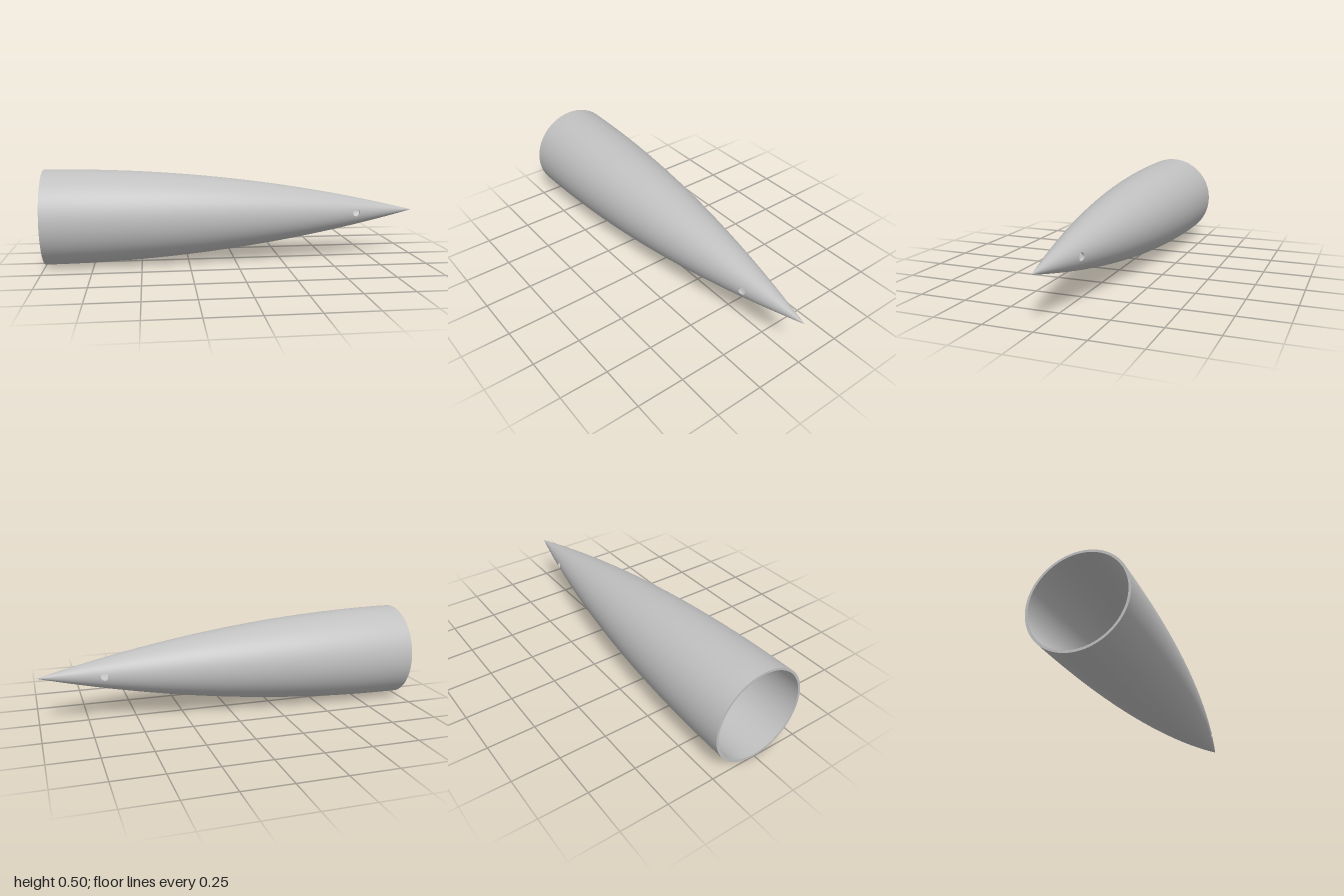
import * as THREE from 'three';

const LENGTH = 2, RADIUS = 0.25, WALL = 0.0125;
const RHO = (RADIUS ** 2 + LENGTH ** 2) / (2 * RADIUS); // radius of the ogive arc
const HOLE_X = 0.665, HOLE_R = 0.02, BAND = 0.05;
const SEG = 96, EDGE = 16;

// Ogive profile: radius at x, slope at x, and the x where the radius runs out
const profile = (x, inset) => Math.max(0, Math.sqrt(RHO ** 2 - (x + 1) ** 2) - RHO + RADIUS - inset);
const slope = (x) => (x + 1) / Math.sqrt(RHO ** 2 - (x + 1) ** 2);
const tipX = (inset) => Math.sqrt(RHO ** 2 - (RHO - RADIUS + inset) ** 2) - 1;

// Grid surface; at(u, v) gives { p, n }, and triangles are wound to agree with n
function gridSurface(nu, nv, at) {
  const pos = [], nor = [], index = [], P = [], N = [];
  for (let i = 0; i <= nu; i++) for (let j = 0; j <= nv; j++) {
    const { p, n } = at(i / nu, j / nv);
    n.normalize();
    P.push(p); N.push(n);
    pos.push(p.x, p.y, p.z); nor.push(n.x, n.y, n.z);
  }
  const tri = (a, b, c) => {
    const face = P[b].clone().sub(P[a]).cross(P[c].clone().sub(P[a]));
    if (face.dot(N[a].clone().add(N[b]).add(N[c])) >= 0) index.push(a, b, c);
    else index.push(a, c, b);
  };
  for (let i = 0; i < nu; i++) for (let j = 0; j < nv; j++) {
    const a = i * (nv + 1) + j, b = a + nv + 1;
    tri(a, b, b + 1);
    tri(a, b + 1, a + 1);
  }
  const g = new THREE.BufferGeometry();
  g.setAttribute('position', new THREE.Float32BufferAttribute(pos, 3));
  g.setAttribute('normal', new THREE.Float32BufferAttribute(nor, 3));
  g.setIndex(index);
  return g;
}

// Point and normal on the outer (inset 0) or inner wall
function wallPoint(x, theta, inset) {
  const r = profile(x, inset), s = Math.sin(theta), c = Math.cos(theta);
  const n = new THREE.Vector3(slope(x), s, c);
  if (inset > 0) n.negate();
  return { p: new THREE.Vector3(x, 0.25 + r * s, r * c), n };
}

// Hole outline on a wall, as (x, theta)
function holeEdge(a, inset) {
  const x = HOLE_X + HOLE_R * Math.cos(a);
  return [x, Math.asin(HOLE_R * Math.sin(a) / profile(x, inset))];
}

// Walk round the unit square, with even steps on each side
function squareEdge(k) {
  const half = SEG / 2;
  if (k <= half) return [1, -1 + 2 * k / half];
  k -= half;
  if (k <= EDGE) return [1 - 2 * k / EDGE, 1];
  k -= EDGE;
  if (k <= half) return [-1, 1 - 2 * k / half];
  return [-1 + 2 * (k - half) / EDGE, -1];
}

export function createModel() {
  const group = new THREE.Group();
  group.name = 'noseCone';
  const grey = new THREE.MeshStandardMaterial({ color: 0xc0c0c0 });
  grey.name = 'grey';
  const add = (name, geometry) => {
    const mesh = new THREE.Mesh(geometry, grey);
    mesh.name = name;
    group.add(mesh);
  };
  const around = SEG + 2 * EDGE;

  for (const [name, inset] of [['outer', 0], ['inner', WALL]]) {
    // Plain shell behind and ahead of the holes
    const shell = (x0, x1, steps) => gridSurface(steps, SEG, (u, v) =>
      wallPoint(x0 + (x1 - x0) * u, v * Math.PI * 2 + Math.PI / 2, inset));
    add(name + 'Body', shell(-1, HOLE_X - BAND, 48));
    add(name + 'Tip', shell(HOLE_X + BAND, tipX(inset), 16));

    // Two half bands, each pierced by a round hole
    for (const [side, turn] of [['Front', 0], ['Back', Math.PI]]) {
      add(name + side + 'Band', gridSurface(14, around, (u, v) => {
        const [sx, st] = squareEdge(Math.round(v * around));
        const [hx, ht] = holeEdge(Math.atan2(st, sx), inset);
        const x = hx + (HOLE_X + sx * BAND - hx) * u;
        const theta = ht + (st * Math.PI / 2 - ht) * u;
        return wallPoint(x, theta + turn, inset);
      }));
    }
  }

  // Hole sides through the wall thickness
  for (const [side, turn] of [['front', 0], ['back', Math.PI]]) {
    add(side + 'HoleSide', gridSurface(1, 64, (u, v) => {
      const a = v * Math.PI * 2, inset = u * WALL;
      const [x, t] = holeEdge(a, inset);
      const p = wallPoint(x, t + turn, inset).p;
      return { p, n: new THREE.Vector3(HOLE_X - p.x, 0.25 - p.y, 0) };
    }));
  }

  // Flat rim at the open end
  add('rim', gridSurface(1, SEG, (u, v) => ({
    p: wallPoint(-1, v * Math.PI * 2 + Math.PI / 2, u * WALL).p,
    n: new THREE.Vector3(-1, 0, 0),
  })));

  return group;
}
